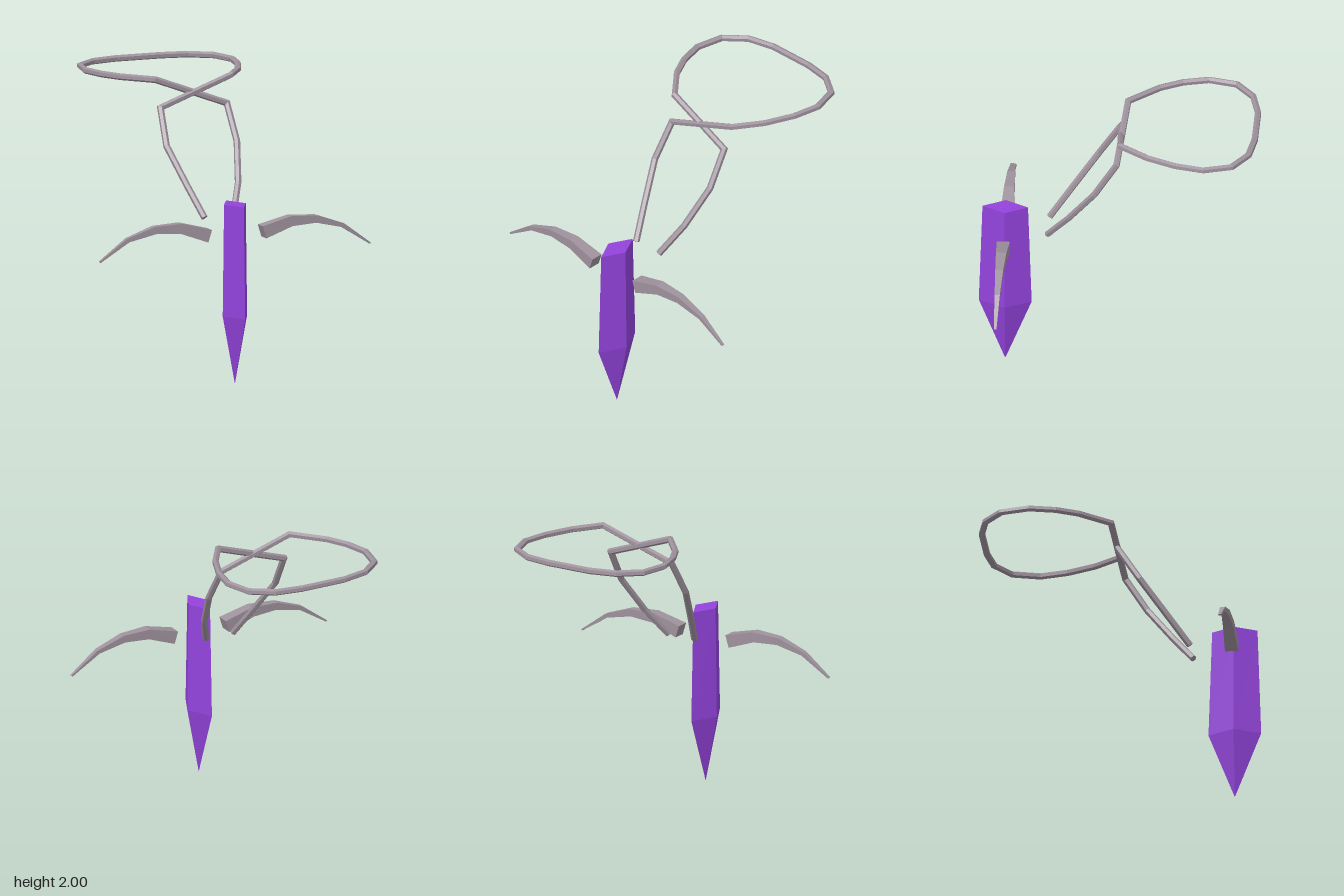
import * as THREE from 'three';

const V = (x, y, z) => new THREE.Vector3(x, y, z);

// Flat-faced solid through a list of rings (each counter-clockwise about the direction of travel)
function loft(rings) {
  const pos = [];
  const tri = (...pts) => pts.forEach((p) => pos.push(p.x, p.y, p.z));
  const n = rings[0].length;
  for (let k = 0; k < rings.length - 1; k++) {
    const a = rings[k], b = rings[k + 1];
    for (let i = 0; i < n; i++) {
      const j = (i + 1) % n;
      tri(a[i], a[j], b[j]);
      tri(a[i], b[j], b[i]);
    }
  }
  const first = rings[0], last = rings[rings.length - 1];
  for (let i = 1; i < n - 1; i++) {
    tri(first[0], first[i + 1], first[i]);
    tri(last[0], last[i], last[i + 1]);
  }
  const g = new THREE.BufferGeometry();
  g.setAttribute('position', new THREE.Float32BufferAttribute(pos, 3));
  g.computeVertexNormals();
  return g;
}

// Rings of a round cord along a polyline, mitred at each bend
function cordRings(path, radius, sides) {
  const dirs = path.slice(1).map((p, i) => p.clone().sub(path[i]).normalize());
  const u = V(1, 0, 0).cross(dirs[0]).normalize();
  const w = dirs[0].clone().cross(u);
  let ring = [];
  for (let i = 0; i < sides; i++) {
    const a = (i / sides) * Math.PI * 2;
    ring.push(path[0].clone().addScaledVector(u, Math.cos(a) * radius).addScaledVector(w, Math.sin(a) * radius));
  }
  const rings = [ring];
  for (let k = 1; k < path.length; k++) {
    const d = dirs[k - 1];
    const m = d.clone().add(dirs[k] || d).normalize();
    ring = ring.map((p) => p.clone().addScaledVector(d, path[k].clone().sub(p).dot(m) / d.dot(m)));
    rings.push(ring);
  }
  return rings;
}

export function createModel() {
  const group = new THREE.Group();
  const purple = new THREE.MeshStandardMaterial({ color: 0x9343dc });
  purple.name = 'purple crystal';
  const grey = new THREE.MeshStandardMaterial({ color: 0x9f929d });
  grey.name = 'mauve grey';
  purple.flatShading = grey.flatShading = true;

  const add = (name, geometry, material) => {
    const mesh = new THREE.Mesh(geometry, material);
    mesh.name = name;
    group.add(mesh);
  };

  // Crystal pendant: rhombus sections from the tip upwards [y, half x, half z]
  const cz = 0.775;
  add('crystal', loft([[0, 0.001, 0.002], [0.465, 0.09, 0.18], [1.235, 0.08, 0.155]].map(
    ([y, hx, hz]) => [V(hx, y, cz), V(0, y, cz - hz), V(-hx, y, cz), V(0, y, cz + hz)])), purple);

  // Curved fangs on both sides: [top x, top y, bottom x, bottom y, half z]
  const fang = [
    [0.187, 1.075, 0.214, 0.99, 0.045],
    [0.4, 1.13, 0.41, 1.06, 0.036],
    [0.6, 1.12, 0.59, 1.07, 0.027],
    [0.8, 1.05, 0.785, 1.025, 0.018],
    [1.0, 0.903, 0.992, 0.895, 0.009],
  ];
  for (const s of [1, -1]) {
    const rings = fang.map(([tx, ty, bx, by, h]) => {
      const r = [V(s * tx, ty, cz - h), V(s * tx, ty, cz + h), V(s * bx, by, cz + h), V(s * bx, by, cz - h)];
      return s > 0 ? r : r.reverse();
    });
    add(s > 0 ? 'leftFang' : 'rightFang', loft(rings), grey);
  }

  // Cord: up one strand, across, round the neck loop, back across and down
  const loopY = 1.977;
  const loop = [
    [0.31, -0.03], [0.44, -0.22], [0.525, -0.42], [0.563, -0.61], [0.51, -0.8],
    [0.36, -0.905], [0.17, -0.935], [-0.16, -0.935], [-0.35, -0.89], [-0.49, -0.77],
    [-0.532, -0.575], [-0.49, -0.4], [-0.415, -0.25], [-0.24, -0.045],
  ].map(([x, z]) => V(x, loopY, z));
  const path = [
    V(-0.1, 1.1, 0.48), V(-0.165, 1.3, 0.333), V(-0.24, 1.55, 0.15), V(-0.222, 1.79, 0),
    ...loop,
    V(0.267, 1.79, 0), V(0.278, 1.55, 0.15), V(0.21, 1.3, 0.333), V(0.113, 1.1, 0.48),
  ];
  add('cord', loft(cordRings(path, 0.023, 6)), grey);

  return group;
}
